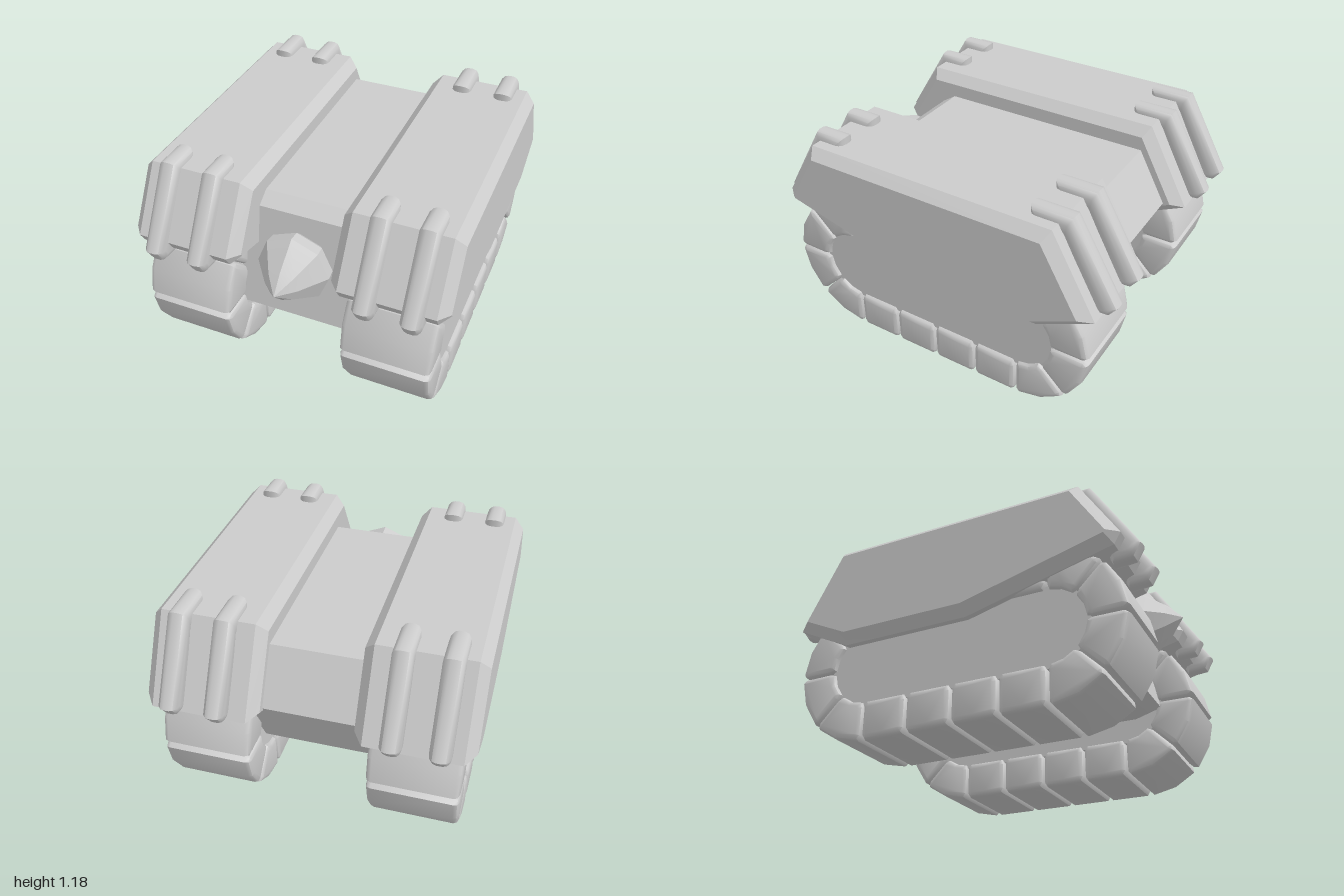
import * as THREE from 'three';
import { toCreasedNormals } from 'three/addons/utils/BufferGeometryUtils.js';

const material = new THREE.MeshStandardMaterial({ color: 0xcccccc });

// Side outline given as [z, y] points, extruded across x with bevelled rims
function slab(name, points, width, bevel, segments = 1, crease = 0.4) {
  const shape = new THREE.Shape(points.map(([z, y]) => new THREE.Vector2(z, y)));
  const depth = width - 2 * bevel;
  const geometry = new THREE.ExtrudeGeometry(shape, {
    depth, bevelEnabled: bevel > 0, bevelSize: bevel, bevelThickness: bevel,
    bevelOffset: -bevel, bevelSegments: segments,
  });
  geometry.translate(0, 0, -depth / 2).rotateY(-Math.PI / 2);
  const mesh = new THREE.Mesh(toCreasedNormals(geometry, crease), material);
  mesh.name = name;
  return mesh;
}

// Track loop: two straights joined by half circles
const MID_Z = 0.02, MID_Y = 0.41, HALF = 0.51, OUTER = 0.41, INNER = 0.2;

// Pad outline as [position along the track -1..1, distance from the loop's core]
const PAD = [
  [-0.86, OUTER], [0, OUTER], [0.86, OUTER], [0.98, OUTER - 0.025],
  [0.98, INNER + 0.03], [0.84, INNER], [0, INNER], [-0.84, INNER],
  [-0.98, INNER + 0.03], [-0.98, OUTER - 0.025],
];

function track() {
  const group = new THREE.Group();
  const addPad = (map) => group.add(slab('trackPad', PAD.map(map), 0.48, 0.027, 2, 0.8));
  for (const side of [-1, 1]) {
    // straight runs, below and above
    for (let i = 0; i < 4; i++) {
      const z = MID_Z + (i - 1.5) * HALF / 2;
      addPad(([t, r]) => [z + t * HALF / 4, MID_Y + side * r]);
    }
    // curved ends, front and back
    for (let i = 0; i < 4; i++) {
      const middle = (i - 1.5) * Math.PI / 4;
      addPad(([t, r]) => {
        const a = middle + t * Math.PI / 8;
        return [MID_Z + side * (HALF + r * Math.cos(a)), MID_Y + r * Math.sin(a)];
      });
    }
  }
  // plate filling the loop
  const plate = [];
  for (const side of [1, -1]) {
    for (let i = 0; i <= 8; i++) {
      const a = (i / 8 - 0.5) * Math.PI;
      plate.push([MID_Z + side * (HALF + 0.22 * Math.cos(a)), MID_Y + side * 0.22 * Math.sin(a)]);
    }
  }
  group.add(slab('trackPlate', plate, 0.43, 0));
  group.name = 'track';
  return group;
}

const HULL = [
  [0.56, 1.01], [0.64, 0.96], [0.75, 0.37], [0.6, 0.325],
  [-0.6, 0.325], [-0.82, 0.72], [-0.66, 1.01],
];
const FENDER = [
  [0.72, 1.14], [0.925, 0.81], [0.89, 0.75], [0.1, 0.55],
  [-0.62, 0.55], [-0.93, 0.7], [-0.69, 1.14],
];
const FRONT_RAIL = [
  [0.58, 1.18], [0.755, 1.18], [1.0, 0.78], [0.96, 0.71],
  [0.85, 0.7], [0.7, 1.06], [0.58, 1.06],
];
const BACK_RAIL = [
  [-0.53, 1.18], [-0.755, 1.18], [-1.0, 0.755], [-0.96, 0.7],
  [-0.85, 0.69], [-0.7, 1.06], [-0.53, 1.06],
];

export function createModel() {
  const model = new THREE.Group();
  model.name = 'trackedVehicle';
  model.add(slab('hull', HULL, 0.66, 0));

  // faceted pointed nose
  const profile = [[0, 0.6], [0.15, 0.68], [0.19, 0.72], [0.197, 0.78], [0.09, 0.92], [0, 1]];
  const lathe = new THREE.LatheGeometry(profile.map(([r, z]) => new THREE.Vector2(r, z)), 8);
  lathe.rotateX(Math.PI / 2);
  const nose = new THREE.Mesh(toCreasedNormals(lathe, 0.3), material);
  nose.name = 'nose';
  nose.position.y = 0.73;
  model.add(nose);

  for (const side of [-1, 1]) {
    const half = new THREE.Group();
    half.name = side > 0 ? 'leftSide' : 'rightSide';

    const loop = track();
    loop.position.x = side * 0.55;
    half.add(loop);

    const fender = slab('fender', FENDER, 0.606, 0.053);
    fender.position.x = side * 0.548;
    half.add(fender);

    // guard rails hooked over both ends of the fender
    for (const x of [0.445, 0.685]) {
      for (const [name, outline] of [['frontRail', FRONT_RAIL], ['backRail', BACK_RAIL]]) {
        const rail = slab(name, outline, 0.108, 0.04, 3, 0.8);
        rail.position.x = side * x;
        half.add(rail);
      }
    }
    model.add(half);
  }
  return model;
}
